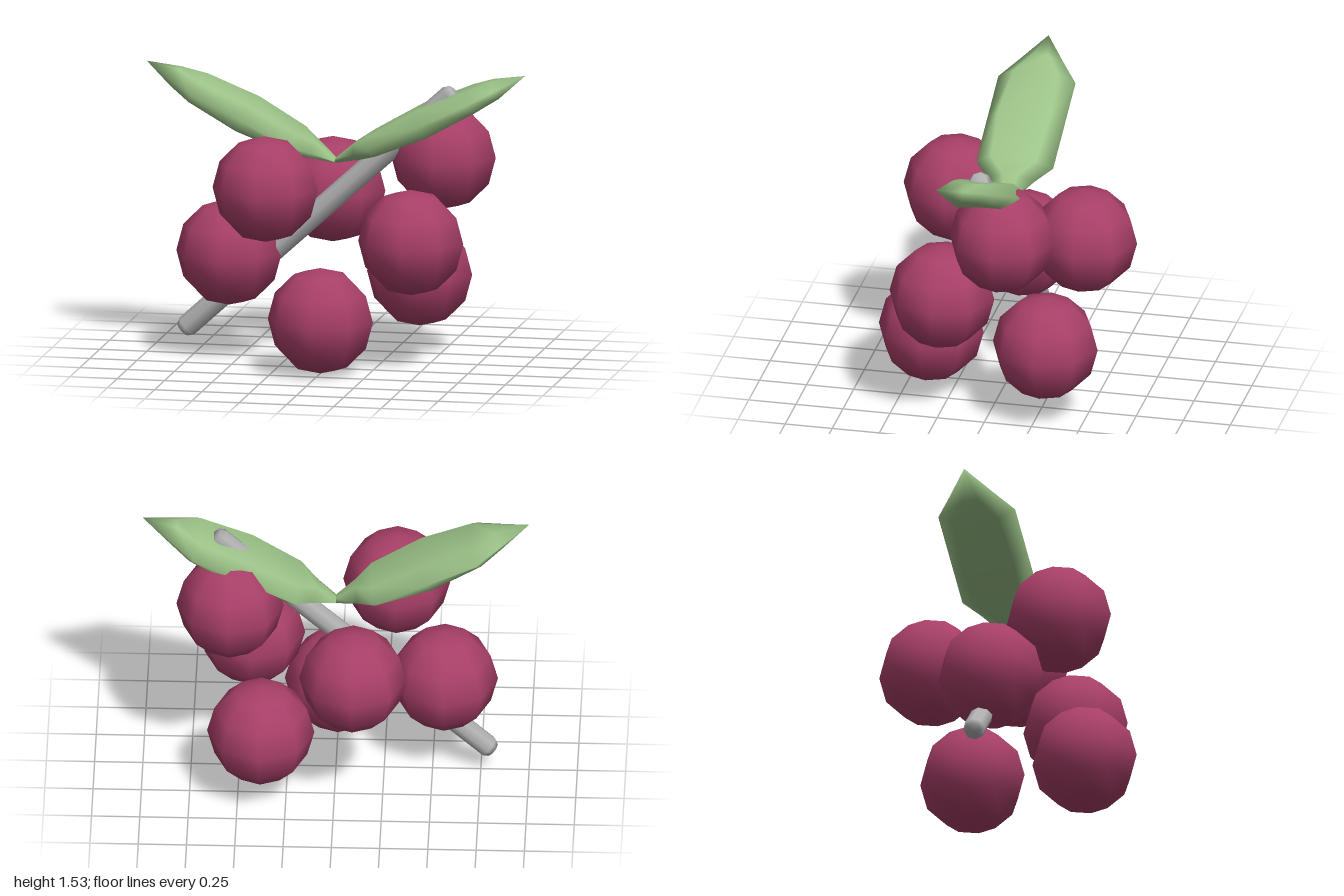
import * as THREE from 'three';
import { mergeVertices } from 'three/addons/utils/BufferGeometryUtils.js';

const berryRed = new THREE.MeshStandardMaterial({ name: 'berry red', color: 0xa83f68 });
const leafGreen = new THREE.MeshStandardMaterial({ name: 'leaf green', color: 0x9cc388 });
const stemGrey = new THREE.MeshStandardMaterial({ name: 'stem grey', color: 0xb0b0b0 });

// Leaf skinned from six-point sections along x: [distance, rim half width, flat half width, half thickness]
function leafGeometry() {
  const sections = [
    [0, 0, 0, 0], [0, 0.04, 0.01, 0.012], [0.13, 0.125, 0.04, 0.045], [0.23, 0.205, 0.12, 0.055],
    [0.52, 0.205, 0.14, 0.075], [0.81, 0.205, 0.12, 0.06], [0.94, 0.115, 0.04, 0.05], [1.112, 0, 0, 0],
  ];
  const points = [];
  const index = [];
  for (const [s, w, f, t] of sections) {
    points.push(s, 0, w, s, t, f, s, t, -f, s, 0, -w, s, -t, -f, s, -t, f);
  }
  for (let k = 0; k < sections.length - 1; k++) {
    for (let i = 0; i < 6; i++) {
      const a = k * 6 + i;
      const b = k * 6 + (i + 1) % 6;
      index.push(a, a + 6, b, b, a + 6, b + 6);
    }
  }
  const geometry = new THREE.BufferGeometry();
  geometry.setAttribute('position', new THREE.Float32BufferAttribute(points, 3));
  geometry.setIndex(index);
  const merged = mergeVertices(geometry);
  merged.computeVertexNormals();
  return merged;
}

export function createModel() {
  const model = new THREE.Group();
  model.name = 'berryCluster';

  // Berries
  const berryGeometry = new THREE.SphereGeometry(0.278, 8, 6);
  const berries = new THREE.Group();
  berries.name = 'berries';
  const centres = [
    [0, 0.28, 0.395], [-0.56, 0.55, 0.03], [-0.305, 0.95, 0.333], [-0.1, 0.82, -0.397],
    [0.545, 1.075, -0.105], [0.445, 0.68, 0.237], [0.38, 0.415, -0.297],
  ];
  for (const centre of centres) {
    const berry = new THREE.Mesh(berryGeometry, berryRed);
    berry.name = 'berry';
    berry.position.set(...centre);
    berries.add(berry);
  }
  model.add(berries);

  // Slanted stem with bevelled ends
  const bottom = new THREE.Vector3(-0.81, 0.125, 0);
  const top = new THREE.Vector3(0.625, 1.435, 0);
  const length = bottom.distanceTo(top);
  const profile = [
    [0, 0], [0.042, 0], [0.058, 0.03], [0.058, length - 0.03], [0.042, length], [0, length],
  ].map(([r, y]) => new THREE.Vector2(r, y));
  const stem = new THREE.Mesh(new THREE.LatheGeometry(profile, 8), stemGrey);
  stem.name = 'stem';
  stem.position.copy(bottom);
  stem.quaternion.setFromUnitVectors(new THREE.Vector3(0, 1, 0), top.clone().sub(bottom).normalize());
  model.add(stem);

  // Pair of leaves rising to either side
  const leaf = leafGeometry();
  leaf.rotateZ(Math.atan2(0.485, 1));
  for (const side of ['left', 'right']) {
    const mesh = new THREE.Mesh(leaf, leafGreen);
    mesh.name = side + 'Leaf';
    mesh.position.y = 1.05;
    if (side === 'right') mesh.rotation.y = Math.PI;
    model.add(mesh);
  }
  return model;
}
